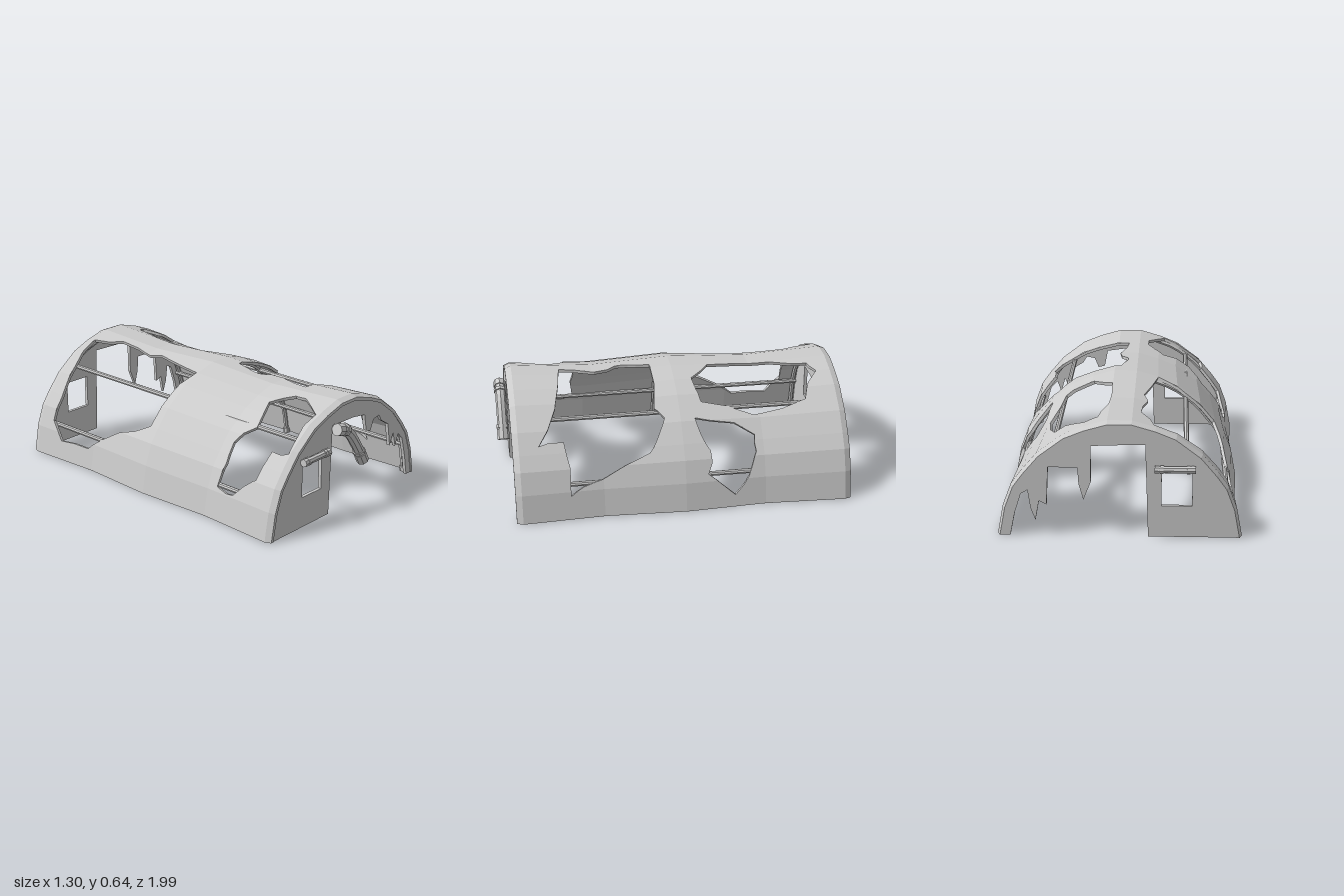
import * as THREE from 'three';

// Half arch from foot to ridge, mirrored to run from -x to +x
const HALF = [[0.65, 0.005], [0.62, 0.165], [0.575, 0.285], [0.52, 0.36], [0.435, 0.46], [0.3, 0.562], [0.19, 0.607], [0.065, 0.643]];
const ARCH = [...HALF.map(([x, y]) => [-x, y]), ...[...HALF].reverse()];
const LAST = ARCH.length - 1;

// Fold lines along the length as [z, scale]: the cloth sags between the ribs and tucks in at both ends
const BACK = -0.965, FRONT = 0.925, RIBS = [-0.93, -0.02, 0.89];
const FOLDS = [[BACK, 0.978]];
for (let k = 0; k <= 8; k++) FOLDS.push([RIBS[0] + k * 0.2275, 1 - 0.035 * Math.sin(k * Math.PI / 4) ** 2]);
FOLDS.push([FRONT, 0.978]);

// Main corners of the torn holes as [x, z] on the cloth
const HOLES = [
  [[-0.6, -0.83], [-0.4, -0.86], [-0.18, -0.9], [-0.11, -0.72], [-0.145, -0.46], [-0.12, -0.38], [-0.19, -0.03],
    [-0.52, -0.08], [-0.578, -0.3], [-0.627, -0.52], [-0.629, -0.74]],
  [[0.19, -0.85], [0.36, -0.75], [0.42, -0.44], [0.34, -0.15], [0.18, -0.12], [0.07, -0.23], [0.075, -0.6], [0.12, -0.81]],
  [[0.42, -0.1], [0.45, -0.32], [0.5, -0.43], [0.56, -0.43], [0.616, -0.38], [0.637, -0.3], [0.605, -0.15], [0.547, -0.17]],
  [[0, 0.22], [0.03, 0.1], [0.36, 0.12], [0.41, 0.07], [0.54, 0.17], [0.6, 0.44], [0.625, 0.62], [0.48, 0.64],
    [0.49, 0.78], [0.32, 0.67], [0, 0.62], [0.05, 0.42], [0, 0.3]],
  [[-0.61, 0.5], [-0.47, 0.5], [-0.38, 0.59], [-0.22, 0.54], [-0.12, 0.65], [-0.12, 0.72], [-0.22, 0.87],
    [-0.45, 0.88], [-0.46, 0.77], [-0.57, 0.75], [-0.615, 0.62]],
];

// Piecewise linear lookup in a list of [key, value]
function lookup(list, k) {
  let i = 0;
  while (i < list.length - 2 && k > list[i + 1][0]) i++;
  const [a, b] = [list[i], list[i + 1]];
  return a[1] + (b[1] - a[1]) * (k - a[0]) / (b[0] - a[0]);
}
const mix = (a, b, t) => [a[0] + (b[0] - a[0]) * t, a[1] + (b[1] - a[1]) * t];

// Arch pushed inward by a distance
function insetArch(d) {
  return ARCH.map((p, i) => {
    const a = ARCH[Math.max(i - 1, 0)], b = ARCH[Math.min(i + 1, LAST)];
    const l = Math.hypot(b[0] - a[0], b[1] - a[1]);
    return [p[0] + (b[1] - a[1]) / l * d, Math.max(0.005, p[1] - (b[0] - a[0]) / l * d)];
  });
}
const OUTER = ARCH, INNER = insetArch(0.018);
const U_OF_X = ARCH.map((p, i) => [p[0], i]);

// Cloth coordinates (u across the arch, z along it) to space
function place([u, z], arch) {
  const s = lookup(FOLDS, z), i = Math.min(Math.floor(u), LAST - 1);
  const [x, y] = mix(arch[i], arch[i + 1], u - i);
  return [x * s, y * s, z];
}

// Hole outline in cloth coordinates, with a small snag in the middle of each side
function tornLoop(hole) {
  const pts = hole.map(([x, z]) => [lookup(U_OF_X, x), z]);
  return pts.flatMap((a, i) => {
    const m = mix(a, pts[(i + 1) % pts.length], 0.5);
    return [a, [m[0] + 0.1 * Math.sin(i * 2.4), m[1] + 0.015 * Math.cos(i * 3.7)]];
  });
}

// Keep the part of a convex polygon on one side of a line
function clip(poly, axis, limit, sign) {
  const out = [];
  poly.forEach((a, i) => {
    const b = poly[(i + 1) % poly.length];
    const da = (a[axis] - limit) * sign, db = (b[axis] - limit) * sign;
    if (da >= 0) out.push(a);
    if (da * db < 0) out.push(mix(a, b, da / (da - db)));
  });
  return out;
}

// Cloth: a flat sheet with holes, cut along the folds, then bent over the arch
function clothGeometry() {
  const loops = [[[0, BACK], [LAST, BACK], [LAST, FRONT], [0, FRONT]], ...HOLES.map(tornLoop)];
  const vecs = loops.map(l => l.map(p => new THREE.Vector2(...p)));
  const flat = loops.flat(), pos = [];
  for (const face of THREE.ShapeUtils.triangulateShape(vecs[0], vecs.slice(1))) {
    let tri = face.map(i => flat[i]);
    const [a, b, c] = tri;
    if ((b[0] - a[0]) * (c[1] - a[1]) - (b[1] - a[1]) * (c[0] - a[0]) > 0) tri = [a, c, b];
    for (let u = 0; u < LAST; u++) {
      const strip = clip(clip(tri, 0, u, 1), 0, u + 1, -1);
      for (let k = 0; k < FOLDS.length - 1; k++) {
        const cell = clip(clip(strip, 1, FOLDS[k][0], 1), 1, FOLDS[k + 1][0], -1);
        for (let i = 1; i < cell.length - 1; i++) {
          const t = [cell[0], cell[i], cell[i + 1]];
          t.forEach(p => pos.push(...place(p, OUTER)));
          t.reverse().forEach(p => pos.push(...place(p, INNER)));
        }
      }
    }
  }
  // Rims around the sheet and its holes
  loops.forEach((loop, l) => loop.forEach((a, i) => {
    const b = loop[(i + 1) % loop.length], n = l === 0 ? 30 : 4;
    for (let k = 0; k < n; k++) {
      const p = mix(a, b, k / n), q = mix(a, b, (k + 1) / n);
      const [A, B, C, D] = [place(p, OUTER), place(q, OUTER), place(q, INNER), place(p, INNER)];
      pos.push(...A, ...B, ...C, ...A, ...C, ...D);
    }
  }));
  const g = new THREE.BufferGeometry();
  g.setAttribute('position', new THREE.Float32BufferAttribute(pos, 3));
  g.computeVertexNormals();
  return g;
}

// End wall: arch outline, doorway with a ragged edge, and a window
function wallGeometry(ragged) {
  const toVec = p => new THREE.Vector2(...p);
  const arch = ARCH.map(([x, y]) => [x * 0.976, y * 0.976]);
  const shape = new THREE.Shape([...arch, [0.58, 0.005], [0.555, 0.13], ...ragged, [0.05, 0.515], [-0.135, 0.52], [-0.152, 0.005]].map(toVec));
  shape.holes.push(new THREE.Path([[-0.383, 0.18], [-0.222, 0.18], [-0.222, 0.37], [-0.383, 0.37]].map(toVec)));
  return new THREE.ExtrudeGeometry(shape, { depth: 0.02, bevelEnabled: false });
}
const FRONT_TEAR = [[0.52, 0.25], [0.48, 0.29], [0.455, 0.22], [0.43, 0.31], [0.4, 0.24], [0.375, 0.38], [0.31, 0.42],
  [0.285, 0.46], [0.235, 0.45], [0.21, 0.39], [0.17, 0.4], [0.15, 0.5]];
const BACK_TEAR = [[0.52, 0.24], [0.485, 0.26], [0.47, 0.16], [0.445, 0.09], [0.425, 0.2], [0.385, 0.18], [0.375, 0.39],
  [0.22, 0.39], [0.215, 0.3], [0.19, 0.21], [0.15, 0.31], [0.15, 0.51]];

export function createModel() {
  const root = new THREE.Group();
  const mat = new THREE.MeshStandardMaterial({ color: 0xcccccc, flatShading: true, side: THREE.DoubleSide });
  const add = (name, geo, x = 0, y = 0, z = 0, parent = root) => {
    const m = new THREE.Mesh(geo, mat);
    m.name = name;
    m.position.set(x, y, z);
    parent.add(m);
    return m;
  };
  const rod = (r, h) => new THREE.CylinderGeometry(r, r, h, 8);

  add('canvasCover', clothGeometry());
  add('frontWall', wallGeometry(FRONT_TEAR), 0, 0, 0.9);
  add('backWall', wallGeometry(BACK_TEAR), 0, 0, -0.96);

  // Arched ribs with feet, just inside the cloth
  const ribArch = insetArch(0.032);
  ['backRib', 'middleRib', 'frontRib'].forEach((name, i) => {
    const z = [-0.92, RIBS[1], 0.87][i];
    const curve = new THREE.CatmullRomCurve3(ribArch.map(([x, y]) => new THREE.Vector3(x, y, z)));
    add(name, new THREE.TubeGeometry(curve, 30, 0.014, 6));
    for (const s of [-1, 1]) add(name + 'Foot', rod(0.02, 0.03), s * 0.617, 0.017, z);
  });

  // Lengthwise poles
  for (const s of [-1, 1]) {
    for (const [x, y] of [[0.35, 0.485], [0.57, 0.19]]) {
      add('lengthPole', rod(0.014, 1.82), s * x, y, -0.025).rotation.x = Math.PI / 2;
    }
  }

  // Rolled window blinds with straps
  for (const [name, z] of [['frontWindowRoll', 0.94], ['backWindowRoll', -0.978]]) {
    const roll = new THREE.Group();
    roll.name = name;
    roll.position.set(-0.293, 0.39, z);
    roll.rotation.z = Math.PI / 2;
    root.add(roll);
    add('roll', rod(0.019, 0.215), 0, 0, 0, roll);
    for (const s of [-1, 1]) {
      add('strap', rod(0.023, 0.018), 0, s * 0.07, 0, roll);
      add('rollEnd', rod(0.022, 0.025), 0, s * 0.095, 0, roll);
    }
  }

  // Rolled door flap, drooping across the doorway
  const flap = new THREE.CatmullRomCurve3([[-0.14, 0.508], [-0.06, 0.48], [0.02, 0.385], [0.095, 0.262]].map(([x, y]) => new THREE.Vector3(x, y, 0.957)));
  add('doorRoll', new THREE.TubeGeometry(flap, 10, 0.03, 8));
  for (const [t, h, r] of [[0.05, 0.045, 0.035], [0.2, 0.02, 0.036], [0.8, 0.02, 0.036], [0.93, 0.06, 0.035]]) {
    const p = flap.getPointAt(t);
    const band = add('doorRollBand', rod(r, h), p.x, p.y, p.z);
    band.quaternion.setFromUnitVectors(new THREE.Vector3(0, 1, 0), flap.getTangentAt(t));
  }
  return root;
}
